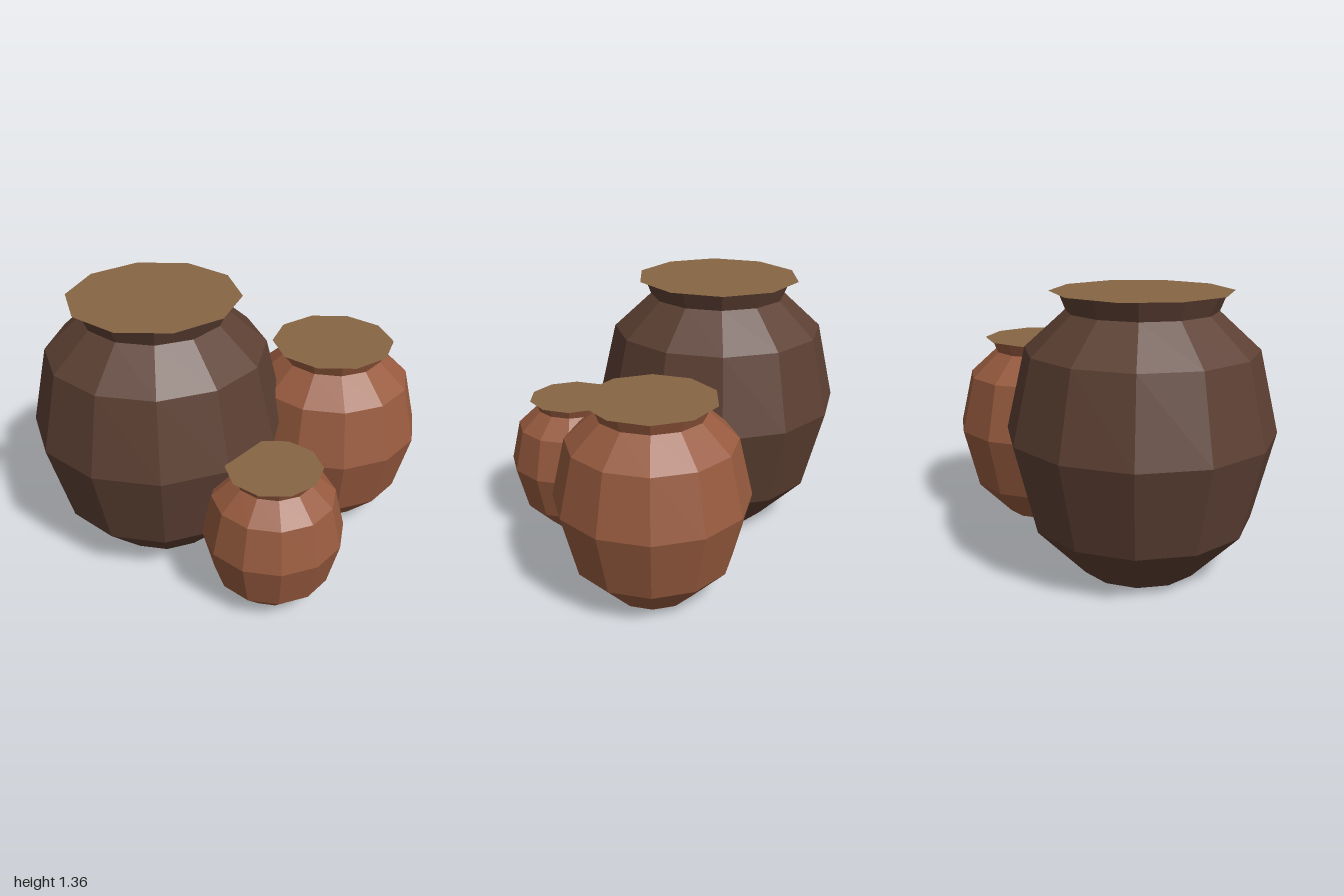
import * as THREE from 'three';

const darkClay = new THREE.MeshStandardMaterial({ name: 'darkClay', color: 0x5d4033, flatShading: true });
const terracotta = new THREE.MeshStandardMaterial({ name: 'terracotta', color: 0x985b3f, flatShading: true });
const lidTan = new THREE.MeshStandardMaterial({ name: 'lidTan', color: 0x876645, flatShading: true, side: THREE.DoubleSide });

// Profile of the largest pot (radius, height); the others are scaled copies
const HEIGHT = 1.36;
const PROFILE = [
  [0, 0], [0.295, 0], [0.54, 0.255], [0.65, 0.69],
  [0.557, 1.09], [0.36, 1.27], [0.396, HEIGHT],
].map(([r, y]) => new THREE.Vector2(r, y));

function makePot(name, material, x, z, scale) {
  const pot = new THREE.Group();
  pot.name = name;

  // Twelve-sided belly, neck and flared rim
  const body = new THREE.Mesh(new THREE.LatheGeometry(PROFILE, 12), material);
  body.name = name + 'Body';

  // Flat ten-sided cover overhanging the rim
  const lid = new THREE.Mesh(new THREE.CircleGeometry(0.434, 10).rotateX(-Math.PI / 2), lidTan);
  lid.name = name + 'Lid';
  lid.position.y = HEIGHT + 0.001;

  pot.add(body, lid);
  pot.position.set(x, 0, z);
  pot.scale.setScalar(scale);
  return pot;
}

export function createModel() {
  const group = new THREE.Group();
  group.name = 'clayPots';
  group.add(
    makePot('largePot', darkClay, -0.35, -0.245, 1),
    makePot('mediumPot', terracotta, 0.52, 0.1, 0.738),
    makePot('smallPot', terracotta, -0.19, 0.545, 0.538),
  );
  return group;
}
